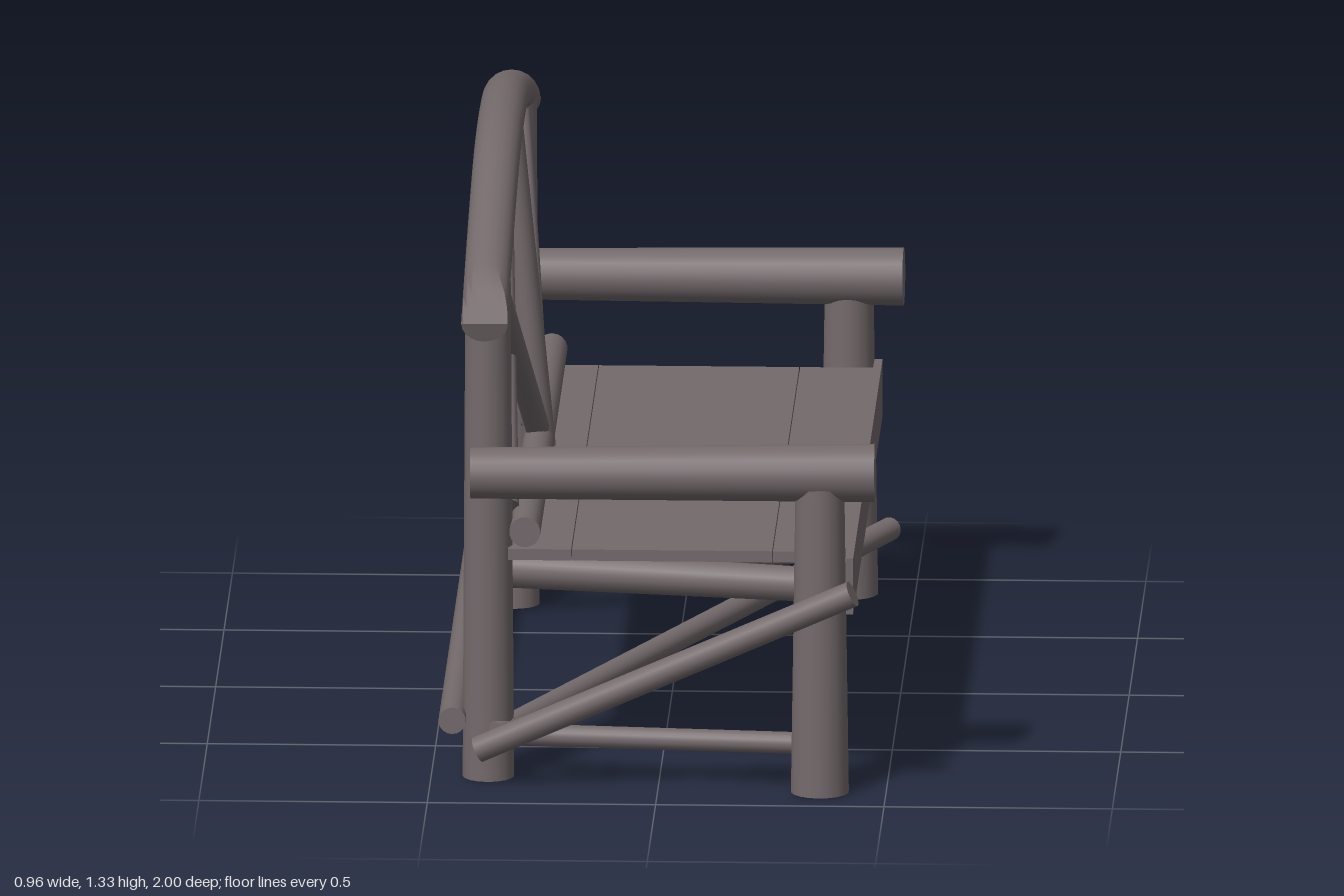
import * as THREE from 'three';
import { toCreasedNormals } from 'three/addons/utils/BufferGeometryUtils.js';

const wood = new THREE.MeshStandardMaterial({ color: 0x746a6c });
wood.name = 'weathered wood';

// Straight tapered log between two points
function log(name, a, b, ra, rb = ra) {
  const p = new THREE.Vector3(...a), q = new THREE.Vector3(...b);
  const dir = q.clone().sub(p);
  const mesh = new THREE.Mesh(new THREE.CylinderGeometry(rb, ra, dir.length(), 18), wood);
  mesh.position.copy(p).add(q).multiplyScalar(0.5);
  mesh.quaternion.setFromUnitVectors(new THREE.Vector3(0, 1, 0), dir.normalize());
  mesh.name = name;
  return mesh;
}

function board(name, x0, x1, y0, y1, z0, z1) {
  const mesh = new THREE.Mesh(new THREE.BoxGeometry(x1 - x0, y1 - y0, z1 - z0), wood);
  mesh.position.set((x0 + x1) / 2, (y0 + y1) / 2, (z0 + z1) / 2);
  mesh.name = name;
  return mesh;
}

// Bowed top log with both ends cut off at a slant
function archGeometry() {
  const half = [[0.995, 1.08], [0.83, 1.135], [0.5, 1.222], [0.25, 1.27]];
  const path = [...half.map(([z, y]) => [-z, y]), [0, 1.285], ...half.reverse()];
  const curve = new THREE.CatmullRomCurve3(path.map(([z, y]) => new THREE.Vector3(-0.375, y, z)));
  const rings = 48, sides = 20, pos = [], index = [];
  const u = new THREE.Vector3(1, 0, 0);
  for (let i = 0; i <= rings; i++) {
    const t = i / rings;
    const p = curve.getPointAt(t), v = curve.getTangentAt(t).cross(u);
    const cut = Math.min(t, 1 - t) * 2.1 / 0.15;
    for (let j = 0; j < sides; j++) {
      const ang = (j / sides) * Math.PI * 2;
      const h = Math.min(Math.sin(ang), cut) * 0.046;
      const q = p.clone().addScaledVector(u, Math.cos(ang) * 0.051).addScaledVector(v, h);
      pos.push(q.x, q.y, q.z);
    }
  }
  for (let i = 0; i < rings; i++) {
    for (let j = 0; j < sides; j++) {
      const a = i * sides + j, b = i * sides + (j + 1) % sides;
      index.push(a, b, a + sides, b, b + sides, a + sides);
    }
  }
  // End faces
  const last = rings * sides;
  for (let j = 1; j < sides - 1; j++) {
    index.push(0, j + 1, j, last, last + j, last + j + 1);
  }
  const g = new THREE.BufferGeometry();
  g.setAttribute('position', new THREE.Float32BufferAttribute(pos, 3));
  g.setIndex(index);
  return toCreasedNormals(g, 0.5);
}

export function createModel() {
  const bench = new THREE.Group();
  bench.name = 'logBench';

  // Seat planks and front apron
  for (const [x0, x1] of [[-0.33, -0.192], [-0.19, 0.248], [0.25, 0.412]]) {
    bench.add(board('seatPlank', x0, x1, 0.5, 0.525, -0.81, 0.81));
  }
  bench.add(board('frontApron', 0.41, 0.428, 0.4, 0.527, -0.88, 0.875));

  // Legs, arms and side rails, mirrored
  for (const s of [1, -1]) {
    bench.add(
      log('backLeg', [-0.375, 0, s * 0.757], [-0.375, 1.14, s * 0.778], 0.057, 0.05),
      log('frontLeg', [0.355, 0, s * 0.873], [0.355, 0.69, s * 0.873], 0.064, 0.054),
      log('armrest', [-0.41, 0.713, s * 0.877], [0.475, 0.718, s * 0.864], 0.056, 0.064),
      log('seatSideRail', [-0.36, 0.457, s * 0.71], [0.37, 0.457, s * 0.84], 0.043, 0.038),
      log('lowSideRail', [-0.38, 0.077, s * 0.69], [0.36, 0.104, s * 0.86], 0.024),
      // Back lattice
      log('outerBrace', [-0.365, 1.12, s * 0.74], [-0.295, 0.595, s * 0.015], 0.027),
      log('innerBrace', [-0.375, 1.25, s * 0.02], [-0.335, 0.595, s * 0.7], 0.025)
    );
  }

  // Slanted braces on the outer sides
  bench.add(
    log('leftSideBrace', [-0.395, 0.08, 0.845], [0.43, 0.472, 0.972], 0.029),
    log('rightSideBrace', [-0.4, 0.1, -0.835], [0.395, 0.455, -0.968], 0.027)
  );

  // Long rails
  bench.add(
    log('lowBackRail', [-0.452, 0.138, 0.82], [-0.452, 0.138, -0.815], 0.03),
    log('crossStretcher', [-0.36, 0.11, 0.82], [0.445, 0.145, -0.875], 0.026),
    log('lowerBackrestRail', [-0.293, 0.565, 0.818], [-0.293, 0.565, -0.8], 0.034),
    log('centrePost', [-0.29, 0.55, 0], [-0.355, 1.28, 0], 0.035, 0.028)
  );

  const arch = new THREE.Mesh(archGeometry(), wood);
  arch.name = 'archedTopRail';
  bench.add(arch);
  return bench;
}
